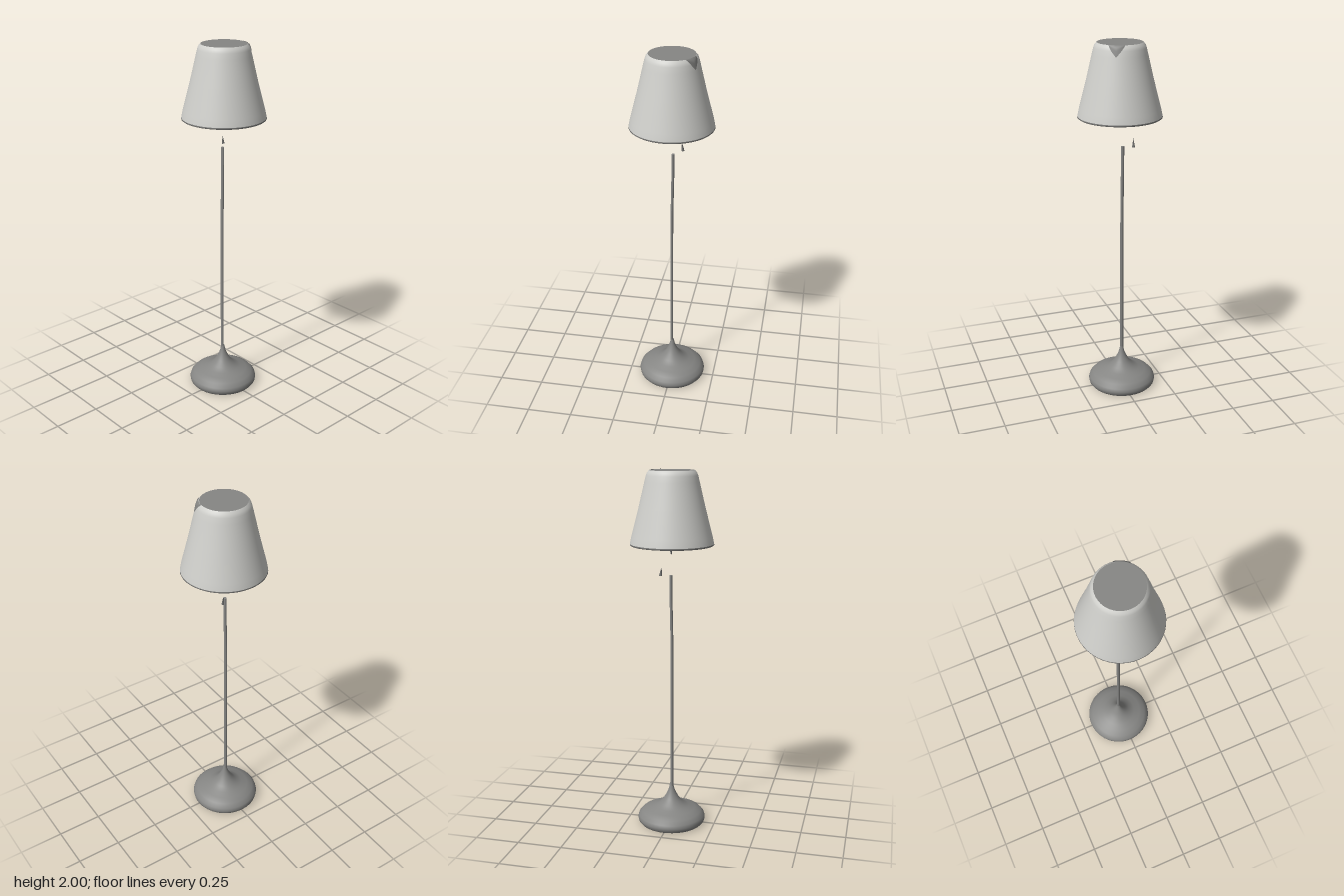
import * as THREE from 'three';

const material = (name, color) => new THREE.MeshStandardMaterial({ name, color });

export function createModel() {
  const group = new THREE.Group();
  const fabric = material('pale fabric', 0xcfcfcb);
  const metal = material('grey metal', 0x868684);
  const chipMetal = material('dark metal', 0x747472);

  const add = (name, geometry, mat, x = 0, y = 0, z = 0) => {
    const mesh = new THREE.Mesh(geometry, mat);
    mesh.name = name;
    mesh.position.set(x, y, z);
    group.add(mesh);
    return mesh;
  };
  // Profiles run bottom to top as [radius, height]
  const lathe = (points, segments = 48, start = 0, length = Math.PI * 2) =>
    new THREE.LatheGeometry(points.map(([r, y]) => new THREE.Vector2(r, y)), segments, start, length);
  const disc = (radius, up) =>
    new THREE.CircleGeometry(radius, 48).rotateX(up ? -Math.PI / 2 : Math.PI / 2);

  // Rounded foot sweeping up into the pole
  const baseZ = -0.01;
  add('base', lathe([
    [0.18, 0], [0.19, 0.012], [0.193, 0.028], [0.188, 0.046], [0.168, 0.068],
    [0.135, 0.084], [0.1, 0.096], [0.068, 0.114], [0.043, 0.142],
    [0.026, 0.172], [0.015, 0.2], [0.009, 0.23],
  ]), metal, 0, 0, baseZ);
  add('baseUnderside', disc(0.18, false), metal, 0, 0, baseZ);

  // Slender pole, slightly oval and leaning a little near the top
  const pole = new THREE.CylinderGeometry(0.008, 0.008, 1.25, 16, 10);
  const p = pole.attributes.position;
  for (let i = 0; i < p.count; i++) {
    const y = p.getY(i) + 0.815;
    const lean = THREE.MathUtils.smoothstep(y, 1.0, 1.4);
    p.setXYZ(i, p.getX(i) - 0.003 + 0.006 * lean, y, p.getZ(i) * 1.15 - 0.012 - 0.002 * lean);
  }
  pole.computeVertexNormals();
  add('pole', pole, metal);

  // Tapered shade with a softened top edge
  add('shade', lathe([
    [0.227, 1.612], [0.219, 1.65], [0.18, 1.8], [0.147, 1.94], [0.139, 1.972],
    [0.133, 1.988], [0.122, 2],
  ]), fabric);
  add('shadeRim', lathe([[0.223, 1.602], [0.228, 1.606], [0.227, 1.612]]), metal);
  add('shadeTop', disc(0.122, true), metal, 0, 2, 0);
  add('shadeUnderside', disc(0.223, false), metal, 0, 1.602, 0);

  // Worn triangular patch at the top edge
  const patch = lathe([[0.149, 1.942], [0.141, 1.973], [0.135, 1.99], [0.122, 2.001]], 12, 0.75, 0.7);
  const q = patch.attributes.position;
  for (let i = 0; i < q.count; i++) {
    const angle = Math.atan2(q.getX(i), q.getZ(i));
    const depth = Math.max(0, 1 - Math.abs(angle - 1.1) / 0.35);
    const y = 2.001 - (2.001 - q.getY(i)) * depth;
    const r = y > 1.973 ? 0.124 + 0.017 * Math.sqrt((2.001 - y) / 0.028) : 0.141 + (1.973 - y) * 0.26;
    q.setXYZ(i, r * Math.sin(angle), y, r * Math.cos(angle));
  }
  add('shadePatch', patch, metal).material.side = THREE.DoubleSide;

  // Pointed lamp holder below the shade
  const holder = add('lampHolder', lathe([[0, 1.55], [0.006, 1.556], [0.01, 1.575], [0.02, 1.603]], 12),
    metal, 0.003, 0, -0.003);
  holder.scale.x = 0.6;
  holder.position.x = 0.004;

  // Small loose pull end beside the pole
  const pull = add('pullEnd', new THREE.ConeGeometry(0.009, 0.05, 4), chipMetal, 0.046, 1.467, -0.06);
  pull.rotation.z = 0.12;
  return group;
}
